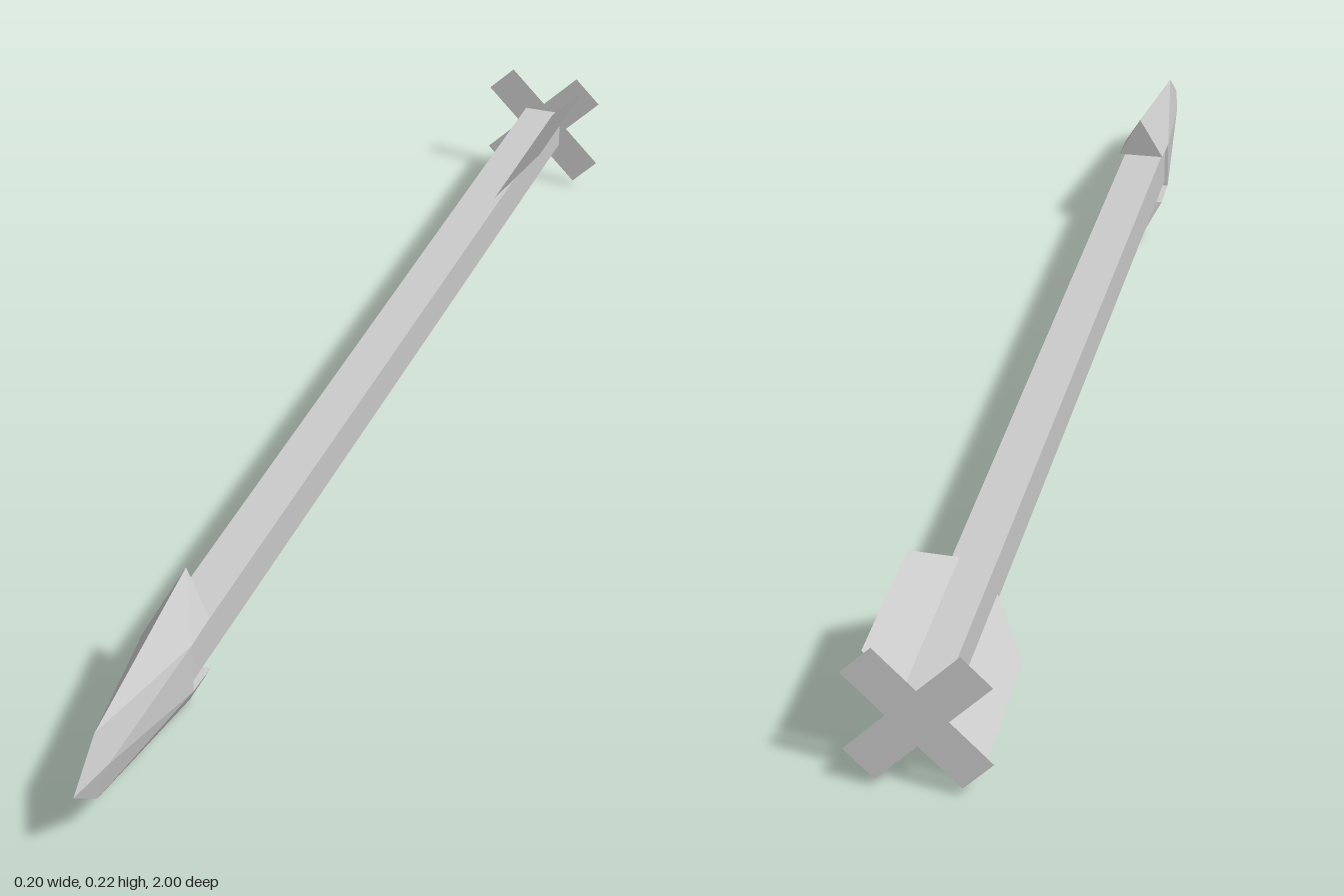
import * as THREE from 'three';

const CY = 0.113; // height of the shaft axis

export function createModel() {
  const group = new THREE.Group();
  const grey = new THREE.MeshStandardMaterial({ color: 0xcccccc, side: THREE.DoubleSide });
  grey.name = 'plain grey';

  function add(name, geometry, x = 0, y = CY, z = 0) {
    const mesh = new THREE.Mesh(geometry, grey);
    mesh.name = name;
    mesh.position.set(x, y, z);
    group.add(mesh);
  }

  function flatShape(points) {
    return new THREE.ShapeGeometry(new THREE.Shape(points.map(([x, y]) => new THREE.Vector2(x, y))));
  }

  // Square shaft
  const back = -0.996, front = 0.7;
  add('shaft', new THREE.BoxGeometry(0.061, 0.061, front - back), 0, CY, (front + back) / 2);

  // Barbed head: one quarter, mirrored across both planes
  const p = {
    tip: [0, 0, 1], cheek: [0.014, 0, 0.92], brow: [0, 0.052, 0.93],
    side: [0.036, 0, 0.69], corner: [0.036, 0.038, 0.69],
    barbSide: [0.036, 0.041, 0.63], barbTip: [0, 0.109, 0.62],
    core: [0, 0, 0.69], coreTop: [0, 0.038, 0.69], barbInner: [0, 0.041, 0.63],
  };
  const faces = [
    ['tip', 'cheek', 'brow'],
    ['cheek', 'side', 'corner'], ['cheek', 'corner', 'brow'],
    ['corner', 'barbTip', 'brow'], ['corner', 'barbSide', 'barbTip'],
    ['barbTip', 'barbSide', 'barbInner'],
    ['corner', 'coreTop', 'barbInner'], ['corner', 'barbInner', 'barbSide'],
    ['side', 'core', 'coreTop'], ['side', 'coreTop', 'corner'],
  ];
  const positions = [];
  for (const sx of [1, -1]) for (const sy of [1, -1]) for (const face of faces) {
    const order = sx * sy > 0 ? face : [...face].reverse();
    for (const key of order) positions.push(p[key][0] * sx, p[key][1] * sy, p[key][2]);
  }
  const head = new THREE.BufferGeometry();
  head.setAttribute('position', new THREE.Float32BufferAttribute(positions, 3));
  head.computeVertexNormals();
  add('arrowHead', head);

  // Diagonal fletching sheet running through the shaft
  const r = 0.109;
  const blade = flatShape([[-r, -0.985], [r, -0.985], [r, -0.74], [0.035, -0.66], [-0.035, -0.66], [-r, -0.74]]);
  blade.rotateX(Math.PI / 2).rotateZ(Math.PI / 4);
  add('fletching', blade, -0.005, CY + 0.005);

  // Flat diagonal cross closing the tail
  const w = 0.029;
  const cross = flatShape([
    [w, w], [w, r], [-w, r], [-w, w], [-r, w], [-r, -w],
    [-w, -w], [-w, -r], [w, -r], [w, -w], [r, -w], [r, w],
  ]);
  cross.rotateZ(Math.PI / 4);
  add('tailCross', cross, 0, CY, -1);

  return group;
}
